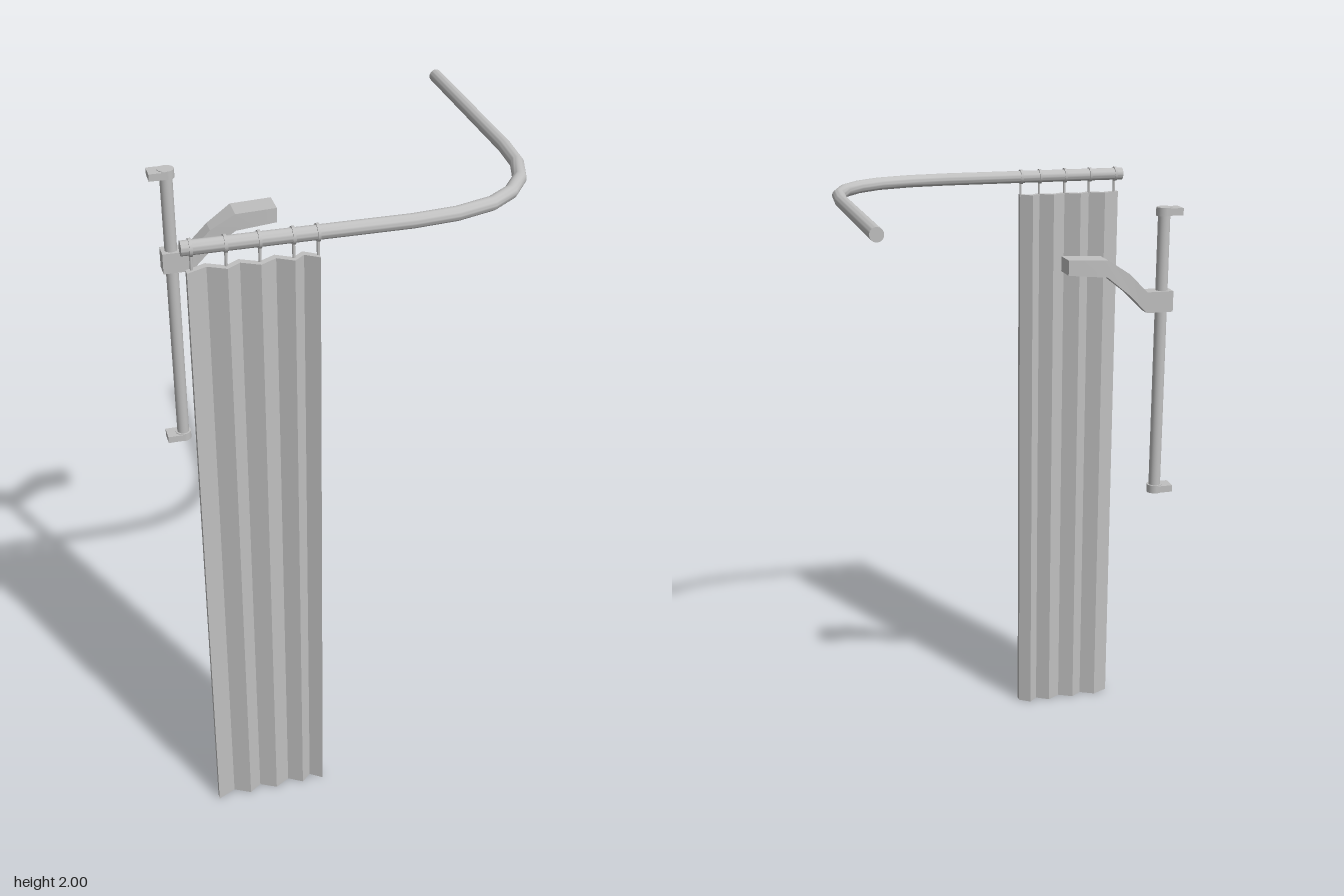
import * as THREE from 'three';
import { toCreasedNormals } from 'three/addons/utils/BufferGeometryUtils.js';

const metal = new THREE.MeshStandardMaterial({ color: 0xc0c0c0 });
metal.name = 'light grey';

// Skin a list of equal-sized cross-sections (counter-clockwise seen from the path's end) and cap both ends.
function loft(rings, crease) {
  const pos = [];
  const tri = (...pts) => pts.forEach((p) => pos.push(...p));
  const n = rings[0].length;
  for (let i = 0; i + 1 < rings.length; i++) {
    for (let j = 0; j < n; j++) {
      const k = (j + 1) % n;
      const a = rings[i][j], b = rings[i][k], c = rings[i + 1][k], d = rings[i + 1][j];
      tri(a, b, c);
      tri(a, c, d);
    }
  }
  const first = rings[0], last = rings[rings.length - 1];
  for (let j = 1; j + 1 < n; j++) {
    tri(first[0], first[j + 1], first[j]);
    tri(last[0], last[j], last[j + 1]);
  }
  const geo = new THREE.BufferGeometry();
  geo.setAttribute('position', new THREE.Float32BufferAttribute(pos, 3));
  geo.computeVertexNormals();
  return toCreasedNormals(geo, crease);
}

function add(parent, name, geo, x = 0, y = 0, z = 0) {
  const mesh = new THREE.Mesh(geo, metal);
  mesh.name = name;
  mesh.position.set(x, y, z);
  parent.add(mesh);
  return mesh;
}

// Round rod with mitred joints along a flat path of [x, z] points.
function rodGeometry(path, y, r, sides) {
  const dir = (i) => new THREE.Vector2(path[i + 1][0] - path[i][0], path[i + 1][1] - path[i][1]).normalize();
  const rings = path.map(([x, z], i) => {
    const t = dir(Math.max(i - 1, 0)).add(dir(Math.min(i, path.length - 2))).normalize();
    return Array.from({ length: sides }, (_, j) => {
      const a = (j / sides) * Math.PI * 2;
      const s = Math.cos(a) * r;
      return [x + t.y * s, y + Math.sin(a) * r, z - t.x * s];
    });
  });
  return loft(rings, 0.6);
}

export function createModel() {
  const model = new THREE.Group();
  model.name = 'showerSet';

  // Curved curtain rod
  const rodPath = [[-0.525, 0.5], [0.09, 0.5], [0.215, 0.487], [0.325, 0.452], [0.4, 0.396],
    [0.457, 0.317], [0.49, 0.215], [0.5, 0.09], [0.5, -0.525]];
  add(model, 'curtainRod', rodGeometry(rodPath, 1.98, 0.02, 24));

  // Pleated curtain: zigzag slab
  const folds = [-0.515, -0.46, -0.41, -0.373, -0.323, -0.278, -0.234, -0.204, -0.166];
  const curtain = folds.map((x, i) => {
    const front = i % 2 ? 0.499 : 0.525;
    const back = front - 0.021;
    return [[x, 0, back], [x, 1.92, back], [x, 1.92, front], [x, 0, front]];
  });
  add(model, 'curtain', loft(curtain, 0.2));

  // Rings on the rod with a hook down to the curtain
  for (const x of [-0.5, -0.41, -0.322, -0.233, -0.168]) {
    const ring = add(model, 'curtainRing', new THREE.CylinderGeometry(0.024, 0.024, 0.008, 24), x, 1.98, 0.5);
    ring.rotation.z = Math.PI / 2;
    add(model, 'curtainHook', new THREE.CylinderGeometry(0.004, 0.004, 0.05, 10), x, 1.938, 0.506);
  }

  // Slide rail with a wall bracket at each end
  const railX = -0.465, railZ = -0.075;
  add(model, 'slideRail', new THREE.CylinderGeometry(0.019, 0.019, 0.91, 24), railX, 1.49, railZ);
  for (const y of [1.042, 1.938]) {
    add(model, 'bracketCollar', new THREE.CylinderGeometry(0.025, 0.025, 0.026, 24), railX, y, railZ);
    add(model, 'wallBracket', new THREE.BoxGeometry(0.054, 0.022, 0.052), -0.491, y, railZ);
  }

  // Hand shower: holder, rising handle and wide head; each row is x, bottom, top, half width
  const sections = [[-0.495, 1.63, 1.695, 0.0265], [-0.41, 1.63, 1.695, 0.0265],
    [-0.35, 1.69, 1.755, 0.0265], [-0.275, 1.75, 1.803, 0.039], [-0.15, 1.762, 1.808, 0.039]];
  const shower = sections.map(([x, lo, hi, w]) =>
    [[x, lo, railZ - w], [x, hi, railZ - w], [x, hi, railZ + w], [x, lo, railZ + w]]);
  add(model, 'handShower', loft(shower, 0.2));

  return model;
}
